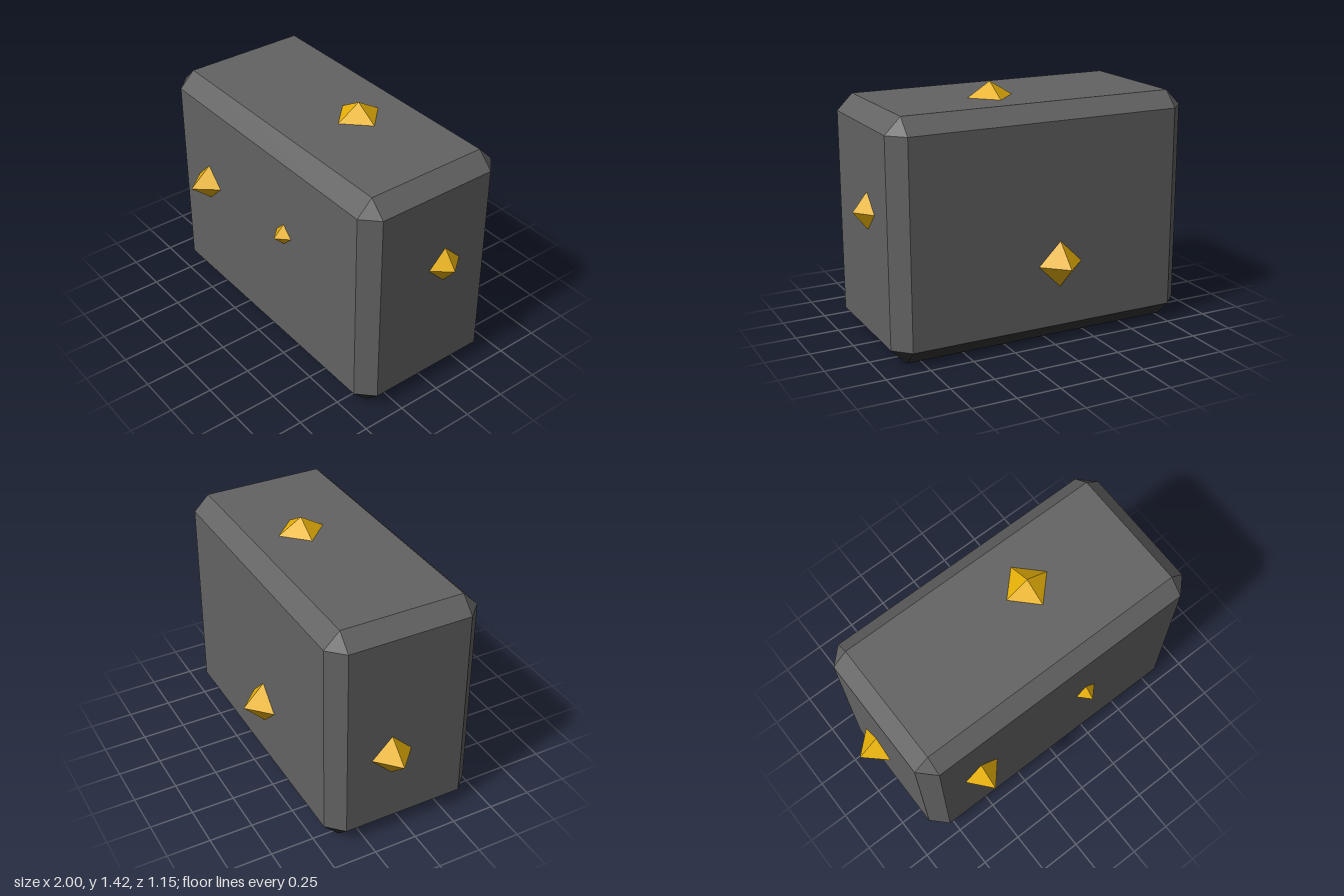
import * as THREE from 'three';
import { ConvexGeometry } from 'three/addons/geometries/ConvexGeometry.js';

// Box with every edge and corner cut by a flat chamfer
function chamferedBox(w, h, d, c) {
  const points = [];
  for (const x of [-w / 2, w / 2])
    for (const y of [-h / 2, h / 2])
      for (const z of [-d / 2, d / 2]) {
        const sx = Math.sign(x) * c, sy = Math.sign(y) * c, sz = Math.sign(z) * c;
        points.push(
          new THREE.Vector3(x, y - sy, z - sz),
          new THREE.Vector3(x - sx, y, z - sz),
          new THREE.Vector3(x - sx, y - sy, z)
        );
      }
  return new ConvexGeometry(points);
}

// One material group per triangle: 1 where the face looks down, otherwise 0
function groupUnderside(geometry) {
  const normal = geometry.attributes.normal;
  for (let i = 0; i < normal.count; i += 3) {
    geometry.addGroup(i, 3, normal.getY(i) < -0.1 ? 1 : 0);
  }
  return geometry;
}

export function createModel() {
  const model = new THREE.Group();
  model.name = 'oreBlock';

  const makeMaterial = (name, color) => {
    const material = new THREE.MeshStandardMaterial({ color, flatShading: true });
    material.name = name;
    return material;
  };
  const stone = makeMaterial('stone grey', 0x636363);
  const darkStone = makeMaterial('dark stone', 0x333333);
  const gold = makeMaterial('gold', 0xeab308);

  // Stone body with a dark underside and lower chamfers
  const body = new THREE.Mesh(
    groupUnderside(chamferedBox(1.787, 1.342, 0.895, 0.09)),
    [stone, darkStone]
  );
  body.name = 'stoneBody';
  body.position.set(0.0225, 0.671, -0.0005);
  model.add(body);

  // Gold crystals, half sunk into the faces: name, centre, half extents
  const crystals = [
    ['frontCrystalLarge', [-0.526, 0.748, 0.447], [0.11, 0.11, 0.128]],
    ['frontCrystalSmall', [0.207, 0.798, 0.447], [0.065, 0.065, 0.066]],
    ['topCrystal', [0.188, 1.342, -0.074], [0.135, 0.083, 0.137]],
    ['leftCrystal', [0.916, 0.787, -0.074], [0.084, 0.105, 0.105]],
    ['rightCrystal', [-0.871, 0.524, -0.09], [0.129, 0.12, 0.12]],
    ['backCrystal', [-0.056, 0.448, -0.448], [0.133, 0.131, 0.127]],
  ];
  const octahedron = new THREE.OctahedronGeometry(1);
  for (const [name, centre, size] of crystals) {
    const crystal = new THREE.Mesh(octahedron, gold);
    crystal.name = name;
    crystal.position.set(...centre);
    crystal.scale.set(...size);
    model.add(crystal);
  }
  return model;
}
